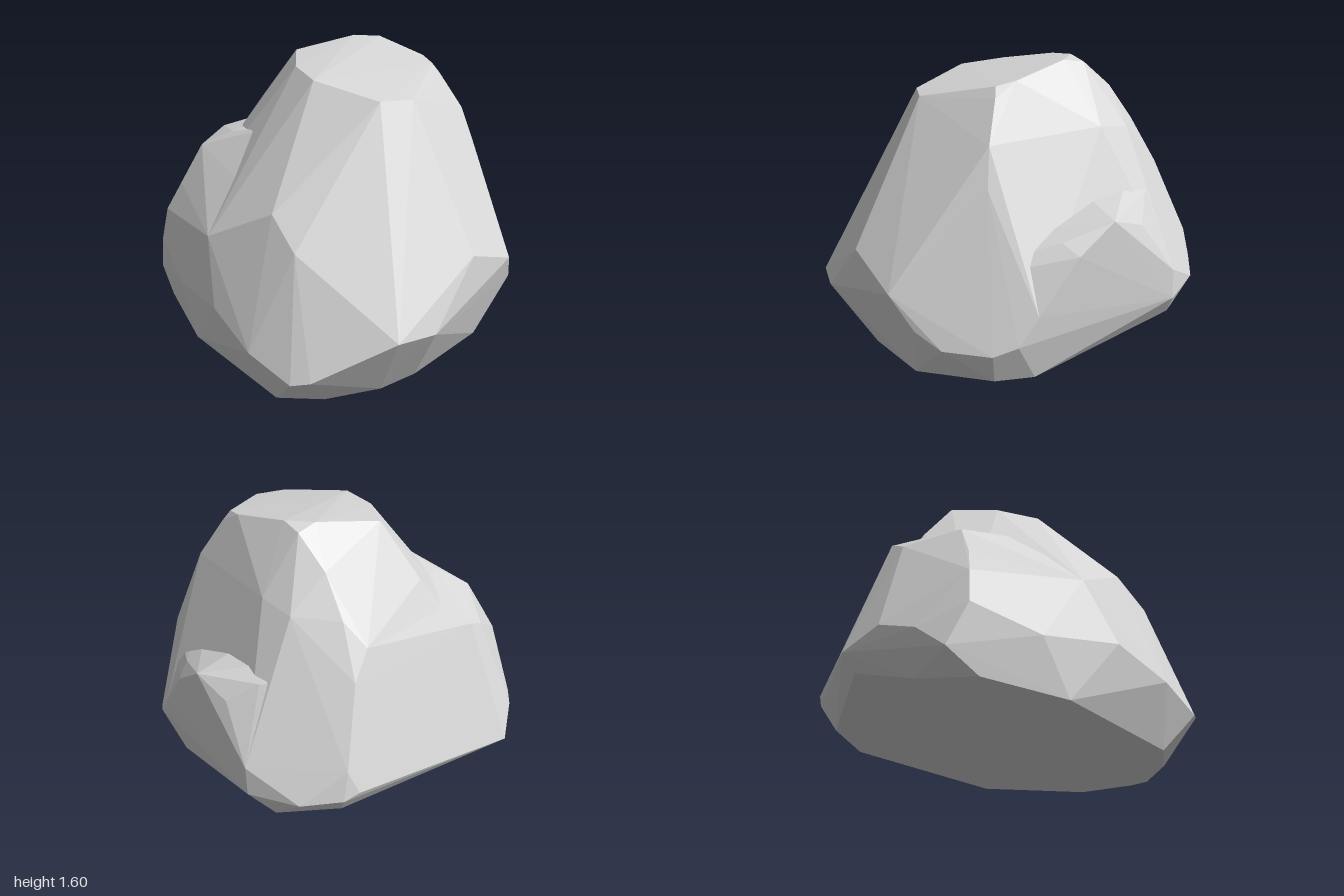
import * as THREE from 'three';
import { ConvexGeometry } from 'three/addons/geometries/ConvexGeometry.js';

// Tilted flat underside and the wide foot of the boulder
const foot = [
  [-0.3, 0, 0.77], [-0.53, 0.01, 0.7], [-0.85, 0.12, 0.2], [-0.93, 0.18, -0.2],
  [-0.8, 0.21, -0.47], [-0.66, 0.28, -0.74], [0.3, 0.32, -0.9], [0.6, 0.29, -0.78],
  [0.88, 0.16, 0], [0.88, 0.16, 0.2], [0.62, 0.09, 0.56], [0, 0, 0.77], [0.2, 0.03, 0.74],
];

// Widest belt, just above the foot, rising to a blunt corner at the front
const belt = [
  [0, 0.41, 1], [0.2, 0.41, 0.97], [0.45, 0.72, 0.82], [0.73, 0.6, 0.68],
  [0.8, 0.43, 0.57], [0.87, 0.35, 0.45], [0.95, 0.34, 0.22], [0.97, 0.39, 0.1],
  [0.95, 0.53, 0], [0.73, 0.6, -0.74], [0.73, 0.44, -0.75], [0.53, 0.45, -0.93],
  [0.25, 0.5, -1], [0.33, 0.47, -1], [0.3, 0.62, -0.97], [-0.7, 0.36, -0.8],
  [-0.82, 0.45, -0.64], [-0.92, 0.4, -0.48], [-0.97, 0.3, -0.35], [-0.96, 0.52, -0.25],
  [-0.9, 0.4, 0.08], [-0.78, 0.43, 0.45], [-0.66, 0.3, 0.7], [-0.5, 0.2, 0.88],
  [-0.41, 0.22, 0.92], [-0.42, 0.8, 0.7], [-0.77, 0.76, 0.3], [-0.49, 0.95, 0.55],
  [-0.42, 1.2, 0.02], [0.11, 1.13, -0.74], [0.2, 1, -0.81],
];

// Narrow crown with a sloping top facet
const crown = [
  [-0.21, 1.51, -0.05], [-0.18, 1.49, 0.19], [0.08, 1.43, 0.46], [0.25, 1.43, 0.46],
  [0.49, 1.52, 0.12], [0.48, 1.54, 0.02], [0.33, 1.6, -0.25], [0.2, 1.6, -0.32],
  [-0.14, 1.54, -0.31], [0.53, 1.47, 0.13], [0.65, 1.28, 0.18], [0.72, 1.09, 0.2],
  [0.76, 0.95, 0.18], [0.5, 1.3, -0.4], [0.3, 1.58, -0.36], [0.23, 1.44, -0.52],
  [0.2, 1.25, -0.66], [0.42, 1.27, -0.56], [-0.3, 1.26, -0.46],
];

// Lower shoulders that bulge out beside the crown
const shoulders = [
  [-0.7, 1.05, -0.28], [-0.54, 1.14, -0.2], [-0.83, 0.85, -0.25], [-0.92, 0.7, -0.25],
  [-0.52, 1.04, -0.62], [-0.62, 0.98, -0.56], [0.84, 0.94, -0.38], [0.84, 0.85, -0.13],
  [0.9, 0.8, -0.2], [0.8, 0.76, 0.03], [0.75, 0.87, -0.55], [0.6, 0.97, -0.61],
];

function hull(name, points, material) {
  const geometry = new ConvexGeometry(points.map((p) => new THREE.Vector3(...p)));
  const mesh = new THREE.Mesh(geometry, material);
  mesh.name = name;
  return mesh;
}

export function createModel() {
  const stone = new THREE.MeshStandardMaterial({ color: 0xd8d8d8 });
  stone.name = 'pale grey stone';
  const boulder = new THREE.Group();
  boulder.name = 'boulder';
  // Two faceted masses on one foot leave shallow hollows where they meet
  boulder.add(
    hull('crownMass', [...foot, ...belt, ...crown], stone),
    hull('shoulderMass', [...foot, ...belt, ...shoulders], stone),
  );
  return boulder;
}
